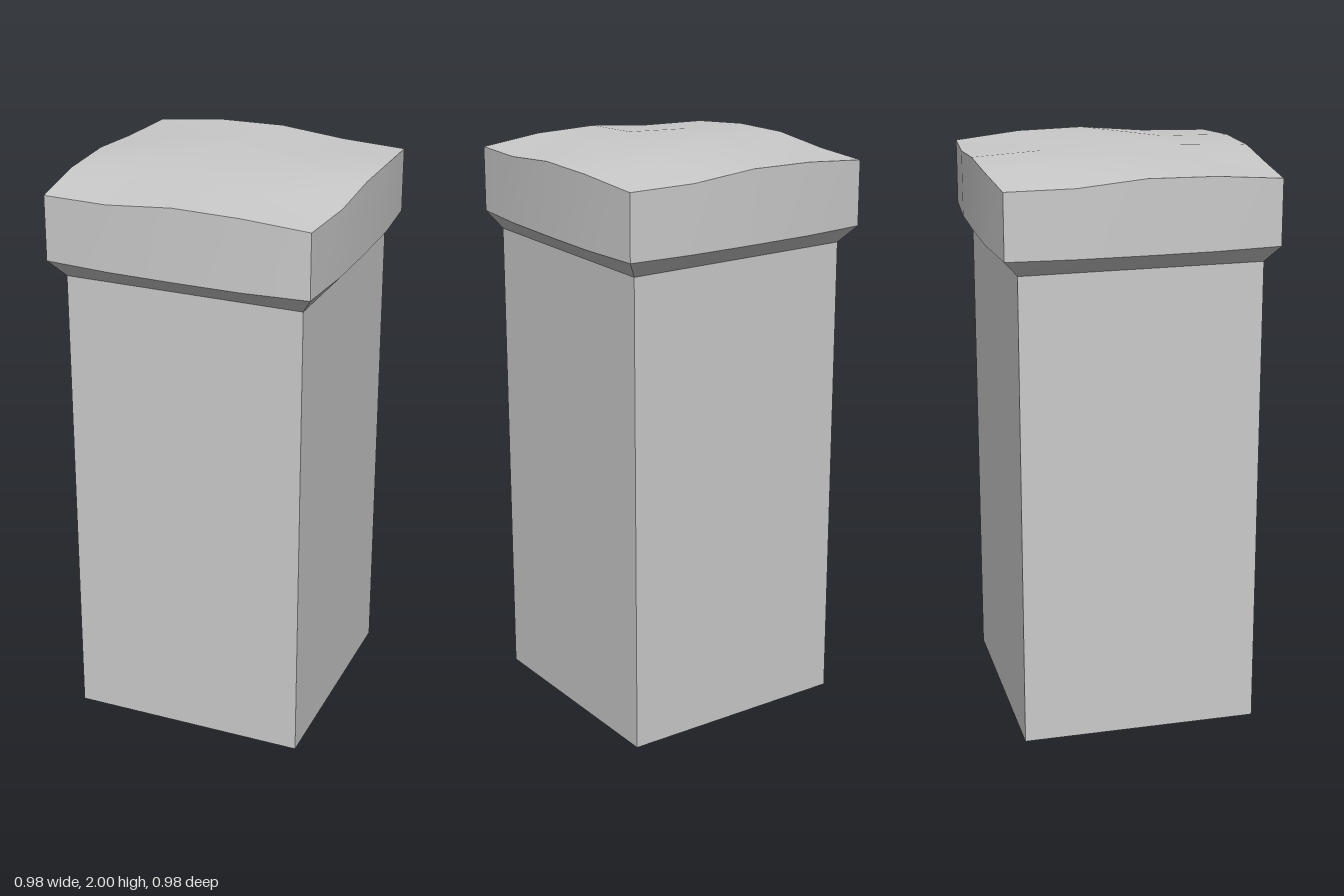
import * as THREE from 'three';
import { mergeGeometries } from 'three/addons/utils/BufferGeometryUtils.js';

const SEG = 4; // divisions along each side of the cap
const SHAFT_TOP = 1.675;
const CAP_BASE = 1.735;

// Corners run anticlockwise seen from above, starting at the front on -x
const shaftCorners = [[-0.39, 0.437], [0.44, 0.39], [0.394, -0.437], [-0.437, -0.39]];
const capCorners = [[-0.437, 0.483], [0.482, 0.435], [0.436, -0.485], [-0.485, -0.438]];
const rimHeights = [1.96, 1.964, 1.985, 1.981, 1.96];
const bow = [0, 0.018, 0.021, 0.019, 0];

// Point on one side of a square loop, optionally bowed outwards
function sidePoint(corners, side, t, y, bowed) {
  const [ax, az] = corners[side % 4];
  const [bx, bz] = corners[(side + 1) % 4];
  const len = Math.hypot(bx - ax, bz - az);
  const b = bowed ? bow[Math.round(t * SEG)] : 0;
  return new THREE.Vector3(
    ax + (bx - ax) * t - ((bz - az) / len) * b,
    y,
    az + (bz - az) * t + ((bx - ax) / len) * b
  );
}

const rim = (side, t) => sidePoint(capCorners, side, t, rimHeights[Math.round(t * SEG)], true);
const capBase = (side, t) => sidePoint(capCorners, side, t, CAP_BASE, true);
const neck = (side, t) => sidePoint(shaftCorners, side, t, SHAFT_TOP, false);
const foot = (side, t) => sidePoint(shaftCorners, side, t, 0, false);

// Grid whose vertices are placed by a rule of u and v
function patch(rule, nu, nv) {
  const geo = new THREE.PlaneGeometry(1, 1, nu, nv);
  const pos = geo.attributes.position;
  for (let i = 0; i < pos.count; i++) {
    const p = rule(pos.getX(i) + 0.5, pos.getY(i) + 0.5);
    pos.setXYZ(i, p.x, p.y, p.z);
  }
  geo.computeVertexNormals();
  return geo;
}

// Four walls spanning a lower and an upper loop, with sharp corners
function walls(lower, upper, nu) {
  return mergeGeometries([0, 1, 2, 3].map((side) =>
    patch((u, v) => lower(side, u).lerp(upper(side, u), v), nu, 1)));
}

// Domed surface blended between the four rim edges
function domePoint(u, v) {
  const p = rim(0, u).multiplyScalar(1 - v)
    .addScaledVector(rim(2, 1 - u), v)
    .addScaledVector(rim(3, 1 - v), 1 - u)
    .addScaledVector(rim(1, v), u)
    .addScaledVector(rim(0, 0), -(1 - u) * (1 - v))
    .addScaledVector(rim(1, 0), -u * (1 - v))
    .addScaledVector(rim(2, 0), -u * v)
    .addScaledVector(rim(3, 0), -(1 - u) * v);
  p.y = Math.min(p.y, 2);
  return p;
}

export function createModel() {
  const model = new THREE.Group();
  model.name = 'stonePost';
  const material = new THREE.MeshStandardMaterial({ color: 0xcccccc, side: THREE.DoubleSide });

  const add = (name, geometry) => {
    const mesh = new THREE.Mesh(geometry, material);
    mesh.name = name;
    model.add(mesh);
  };

  // Open-bottomed shaft
  add('shaft', walls(foot, neck, 1));

  // Cap: sloping underside, upright band and domed top
  add('capUnderside', walls(neck, capBase, SEG));
  add('capBand', walls(capBase, rim, SEG));
  add('capTop', patch(domePoint, SEG, SEG));

  return model;
}
